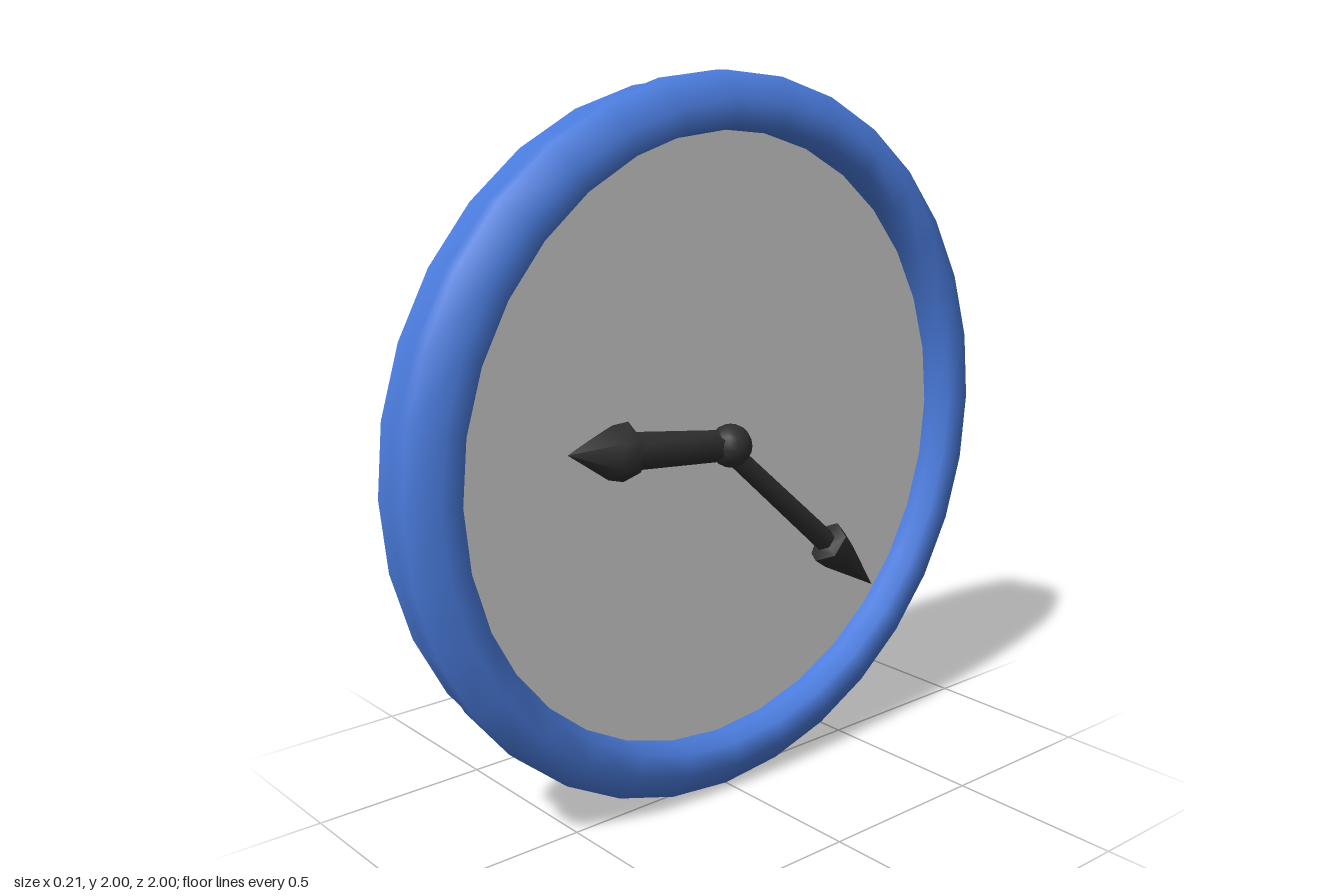
import * as THREE from 'three';
import { toCreasedNormals } from 'three/addons/utils/BufferGeometryUtils.js';

const blue = new THREE.MeshStandardMaterial({ color: 0x4a7bdc });
const dark = new THREE.MeshStandardMaterial({ color: 0x2e2e2e });
const grey = new THREE.MeshStandardMaterial({ color: 0xcccccc });

// Turned shape from [radius, height] pairs
function turned(points, sides) {
  const profile = points.map(([r, h]) => new THREE.Vector2(r, h));
  return new THREE.LatheGeometry(profile, sides);
}

// Hand lying along +y: shaft, flared collar and pointed head
function makeHand(name, length, neck, shaftRadius, headRadius, tipZ, tipY) {
  const geo = turned([
    [0, 0], [shaftRadius * 0.85, 0], [shaftRadius, neck],
    [headRadius, neck + 0.01], [headRadius * 0.9, neck + 0.06], [0, length],
  ], 6);
  const hand = new THREE.Mesh(toCreasedNormals(geo, 1.1), dark);
  hand.name = name;
  hand.quaternion.setFromUnitVectors(
    new THREE.Vector3(0, 1, 0), new THREE.Vector3(0, tipY, tipZ).normalize());
  hand.position.set(0.03, 1, 0);
  return hand;
}

export function createModel() {
  const clock = new THREE.Group();
  clock.name = 'wallClock';

  // Casing: flat back, side wall and rounded front rim, turned about x
  const casingGeo = turned([
    [0, -0.11], [0.98, -0.11], [0.98, -0.06], [1, 0], [1, 0.04],
    [0.925, 0.09], [0.862, 0.083], [0.848, 0.035], [0.85, -0.01],
  ], 32);
  casingGeo.rotateZ(-Math.PI / 2);
  const casing = new THREE.Mesh(toCreasedNormals(casingGeo, 1.2), blue);
  casing.name = 'casing';
  casing.position.y = 1;

  // Dial set inside the rim
  const dial = new THREE.Mesh(new THREE.CircleGeometry(0.855, 32), grey);
  dial.name = 'dial';
  dial.rotation.y = Math.PI / 2;
  dial.position.set(0, 1, 0);

  // Centre hub
  const hub = new THREE.Mesh(new THREE.SphereGeometry(0.06, 16, 10), dark);
  hub.name = 'hub';
  hub.position.set(0.04, 1, -0.015);

  clock.add(casing, dial, hub);
  clock.add(makeHand('hourHand', 0.525, 0.33, 0.052, 0.08, 0.52, 0.06));
  clock.add(makeHand('minuteHand', 0.805, 0.53, 0.034, 0.066, -0.6, -0.535));
  return clock;
}
